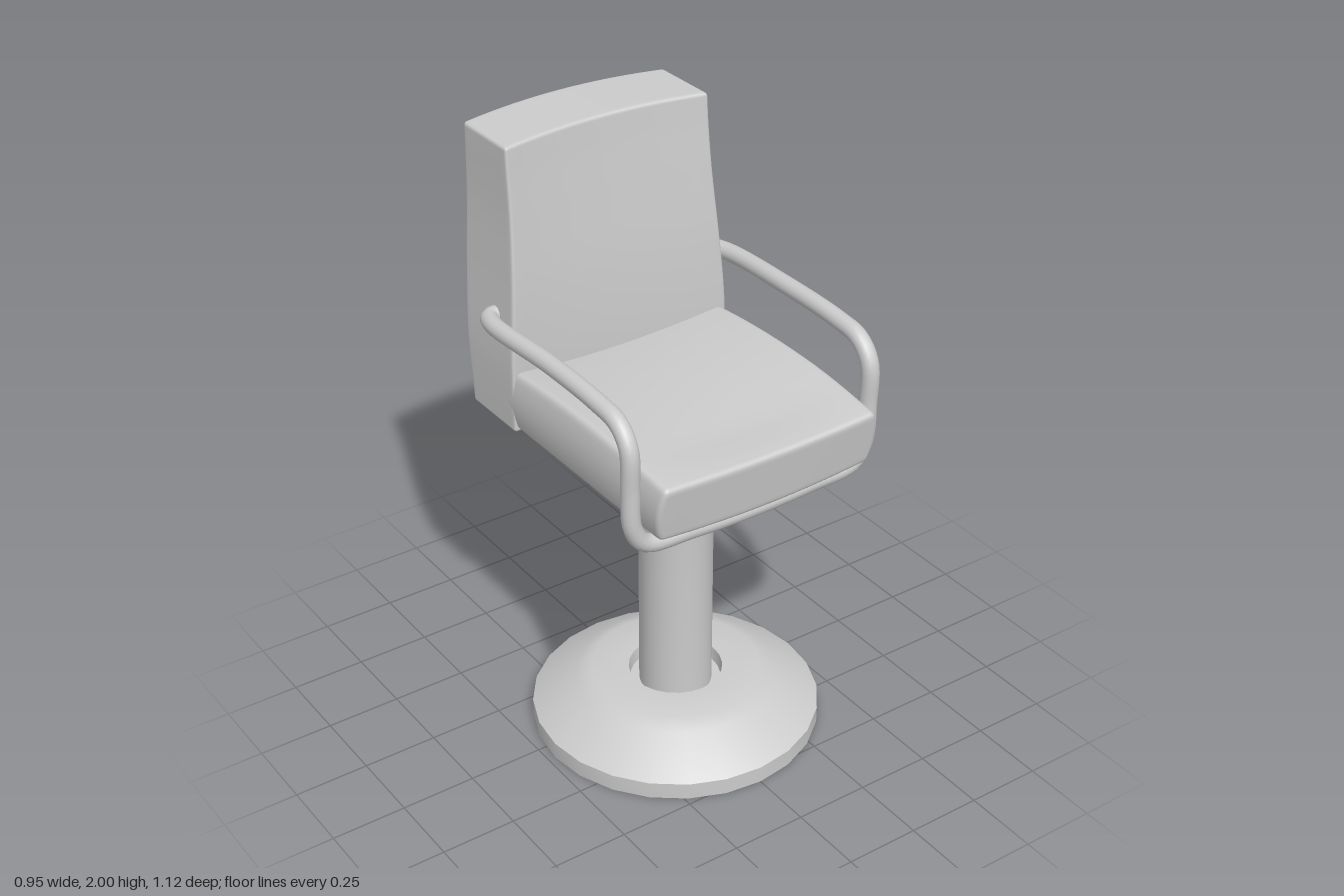
import * as THREE from 'three';
import { mergeVertices, toCreasedNormals } from 'three/addons/utils/BufferGeometryUtils.js';

const grey = new THREE.MeshStandardMaterial({ color: 0xcccccc });
const greyThin = new THREE.MeshStandardMaterial({ color: 0xcccccc, side: THREE.DoubleSide });
const { lerp, clamp, smoothstep } = THREE.MathUtils;
const AXIS_Z = 0.065; // pedestal axis

function addMesh(parent, name, geometry, material = grey) {
  const mesh = new THREE.Mesh(geometry, material);
  mesh.name = name;
  parent.add(mesh);
  return mesh;
}

function lathe(points, segments) {
  const profile = points.map(([r, y]) => new THREE.Vector2(r, y));
  return toCreasedNormals(new THREE.LatheGeometry(profile, segments), 0.5);
}

// Box of the given half sizes with softly rounded edges, its vertices then moved by warp(p)
function cushion(hx, hy, hz, radius, warp) {
  const n = 20, half = new THREE.Vector3(hx, hy, hz);
  let geo = new THREE.BoxGeometry(2, 2, 2, n, n, n);
  geo.deleteAttribute('uv');
  geo.deleteAttribute('normal');
  geo = mergeVertices(geo, 1e-4);
  const pos = geo.attributes.position;
  const p = new THREE.Vector3(), inner = new THREE.Vector3();
  // the two outer cells at each end form the rounded edge
  const spread = (t, h) => {
    const a = Math.abs(t), edge = 1 - 4 / n;
    const d = a <= edge ? (a / edge) * (h - radius) : h - radius + ((a - edge) / (1 - edge)) * radius;
    return Math.sign(t) * d;
  };
  for (let i = 0; i < pos.count; i++) {
    p.fromBufferAttribute(pos, i);
    p.set(spread(p.x, hx), spread(p.y, hy), spread(p.z, hz));
    for (const k of ['x', 'y', 'z']) inner[k] = clamp(p[k], radius - half[k], half[k] - radius);
    p.sub(inner).setLength(radius).add(inner);
    warp(p);
    pos.setXYZ(i, p.x, p.y, p.z);
  }
  geo.computeVertexNormals();
  return geo;
}

// Seat: dished top, rounded-down front edge, slightly bulging sides
function seatGeometry() {
  return cushion(0.4, 0.105, 0.48, 0.018, (p) => {
    const u = p.x / 0.4, v = (p.y + 0.105) / 0.21, z = p.z + 0.08;
    const across = 1 - u * u;
    const front = smoothstep(z, 0.35, 0.56);
    const top = 1.288 - 0.16 * (z - 0.1) ** 2 - lerp(0.035, 0.012, front) * across;
    const bottom = 1.066 - 0.02 * across * front;
    p.x *= 1.015 - 0.045 * (2 * v - 1) ** 2 - 0.015 * smoothstep(Math.abs(z - 0.05), 0.2, 0.5);
    p.y = lerp(bottom, top, v);
    p.z = z - 0.03 * (1 - v) * front;
  });
}

// Backrest: front and back heights-to-depth curves, both wrapped around the sitter
function backrestGeometry() {
  const curve = (pts) => new THREE.SplineCurve(pts.map(([y, z]) => new THREE.Vector2(y, z)));
  const frontEdge = curve([[1.06, -0.23], [1.295, -0.23], [1.53, -0.242], [1.765, -0.265], [2, -0.287]]);
  const backEdge = curve([[1.06, -0.482], [1.295, -0.506], [1.53, -0.524], [1.765, -0.53], [2, -0.53]]);
  const halfWidth = curve([[1.06, 0.403], [1.295, 0.403], [1.53, 0.386], [1.765, 0.37], [2, 0.366]]);
  return cushion(0.4, 0.47, 0.14, 0.012, (p) => {
    const u = p.x / 0.4, t = clamp((p.y + 0.47) / 0.94, 0, 1), w = (p.z + 0.14) / 0.28;
    const across = 1 - u * u;
    const front = frontEdge.getPoint(t).y - 0.03 * across;
    const back = backEdge.getPoint(t).y - lerp(0.01, 0.033, smoothstep(t, 0, 0.6)) * across;
    p.x = u * halfWidth.getPoint(t).y;
    p.y = 1.06 + 0.94 * t - 0.008 * t * u * u;
    p.z = lerp(back, front, w);
  });
}

// One bent tube: backrest side, forward, down, under the seat and mirrored
function armFrameGeometry() {
  const side = [
    [0.37, 1.43, -0.34], [0.415, 1.43, -0.335], [0.437, 1.433, -0.28], [0.437, 1.445, 0.05],
    [0.437, 1.438, 0.3], [0.437, 1.42, 0.4], [0.437, 1.36, 0.452], [0.436, 1.22, 0.456],
    [0.428, 1.09, 0.456], [0.385, 1.027, 0.456], [0.22, 1.011, 0.456],
  ];
  const mirrored = side.map(([x, y, z]) => [-x, y, z]).reverse();
  const path = [...side, [0, 1.004, 0.456], ...mirrored].map((c) => new THREE.Vector3(...c));
  return new THREE.TubeGeometry(new THREE.CatmullRomCurve3(path), 160, 0.029, 14, false);
}

export function createModel() {
  const chair = new THREE.Group();
  chair.name = 'pedestalArmchair';

  // Hollow floor base with a recessed collar around the column
  addMesh(chair, 'base', lathe([
    [0.475, 0], [0.475, 0.057], [0.33, 0.153], [0.28, 0.174], [0.155, 0.174], [0.15, 0.13], [0.12, 0.13],
  ], 24), greyThin).position.z = AXIS_Z;

  // Column flaring out under the seat, open at the floor end
  addMesh(chair, 'column', lathe([
    [0.12, 0.12], [0.12, 0.74], [0.128, 0.82], [0.147, 0.89], [0.185, 0.96],
    [0.235, 1.02], [0.27, 1.055], [0.27, 1.07], [0, 1.07],
  ], 32), greyThin).position.z = AXIS_Z;

  addMesh(chair, 'seat', seatGeometry());
  addMesh(chair, 'backrest', backrestGeometry());
  addMesh(chair, 'armFrame', armFrameGeometry(), greyThin);
  return chair;
}
